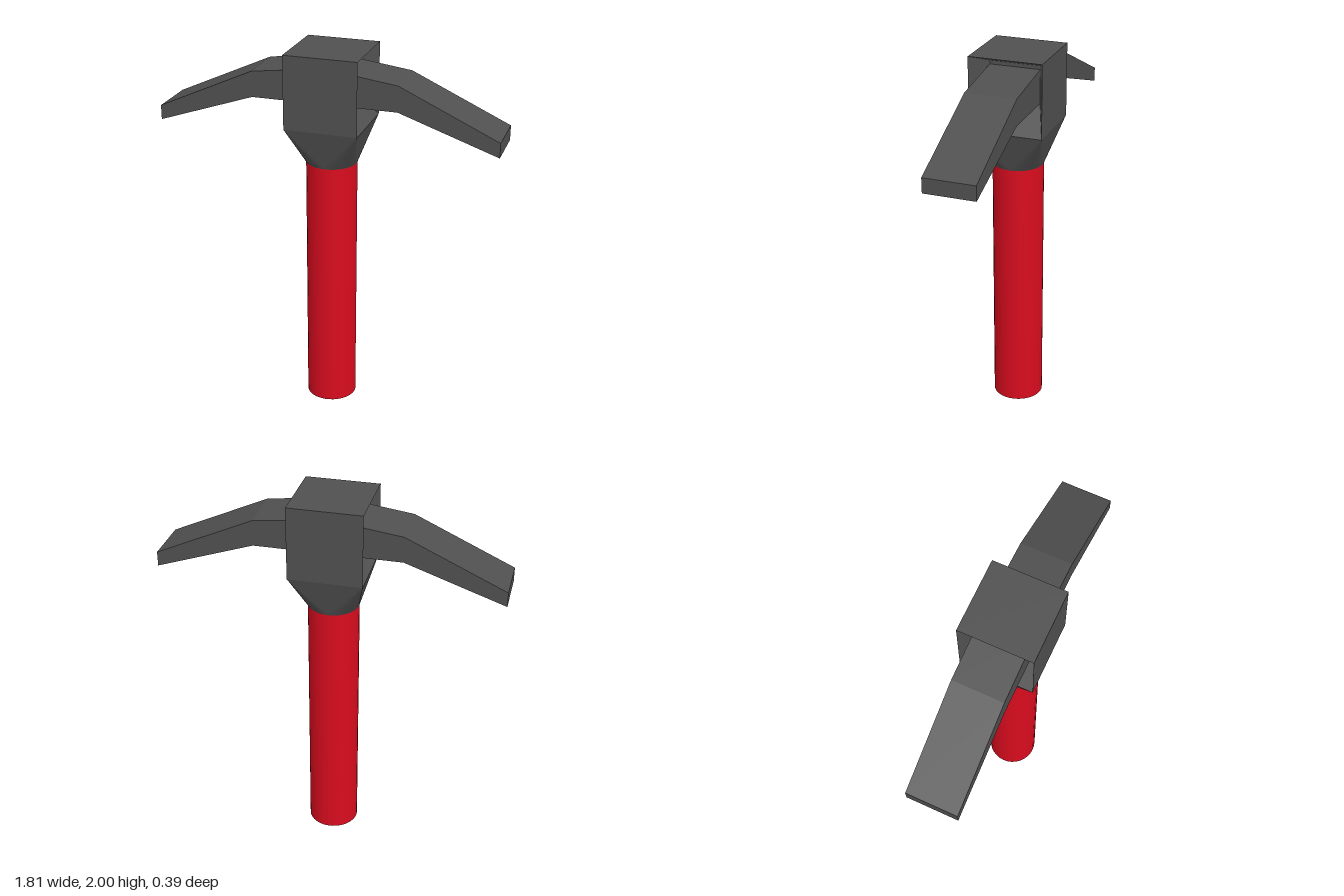
import * as THREE from 'three';
import { ConvexGeometry } from 'three/addons/geometries/ConvexGeometry.js';

const HANDLE_R = 0.135, HANDLE_TOP = 1.395, BLOCK_BOTTOM = 1.61, HALF = 0.195;

// Lofts rectangular sections [x, yBottom, yTop, halfDepth] along x and caps both ends.
function loftSections(sections) {
  const pos = [], index = [];
  for (const [x, y0, y1, d] of sections) {
    pos.push(x, y0, d, x, y0, -d, x, y1, -d, x, y1, d);
  }
  for (let s = 0; s < sections.length - 1; s++) {
    for (let k = 0; k < 4; k++) {
      const a = s * 4 + k, b = s * 4 + (k + 1) % 4;
      index.push(a, b, b + 4, a, b + 4, a + 4);
    }
  }
  const e = (sections.length - 1) * 4;
  index.push(0, 2, 1, 0, 3, 2, e, e + 1, e + 2, e, e + 2, e + 3);
  const g = new THREE.BufferGeometry();
  g.setAttribute('position', new THREE.Float32BufferAttribute(pos, 3));
  g.setIndex(index);
  const flat = g.toNonIndexed();
  flat.computeVertexNormals();
  return flat;
}

export function createModel() {
  const model = new THREE.Group();
  model.name = 'pickaxe';
  const red = new THREE.MeshStandardMaterial({ color: 0xd80c1e });
  const steel = new THREE.MeshStandardMaterial({ color: 0x505050, flatShading: true });

  const add = (name, geometry, material) => {
    const mesh = new THREE.Mesh(geometry, material);
    mesh.name = name;
    model.add(mesh);
    return mesh;
  };

  // Round handle
  add('handle', new THREE.CylinderGeometry(HANDLE_R, HANDLE_R, HANDLE_TOP, 32), red)
    .position.y = HANDLE_TOP / 2;

  // Collar: round at the handle, square under the head
  const points = [];
  for (let i = 0; i < 32; i++) {
    const a = (i / 32) * Math.PI * 2;
    points.push(new THREE.Vector3(Math.cos(a) * HANDLE_R, HANDLE_TOP, Math.sin(a) * HANDLE_R));
  }
  for (const x of [-HALF, HALF]) {
    for (const z of [-HALF, HALF]) points.push(new THREE.Vector3(x, BLOCK_BOTTOM, z));
  }
  add('collar', new ConvexGeometry(points), steel);

  // Head block with a funnel-shaped socket in each side
  add('headBlock', loftSections([
    [-0.05, 1.745, 1.945, HANDLE_R],
    [-HALF, BLOCK_BOTTOM, 2, HALF],
    [HALF, BLOCK_BOTTOM, 2, HALF],
    [0.05, 1.745, 1.945, HANDLE_R],
  ]), steel);

  // Bent, tapering arms emerging from the sockets
  const arm = loftSections([
    [0.05, 1.745, 1.925, HANDLE_R],
    [0.385, 1.745, 1.882, HANDLE_R],
    [0.905, 1.567, 1.645, HANDLE_R],
  ]);
  add('leftArm', arm, steel);
  add('rightArm', arm, steel).rotation.y = Math.PI;

  return model;
}
